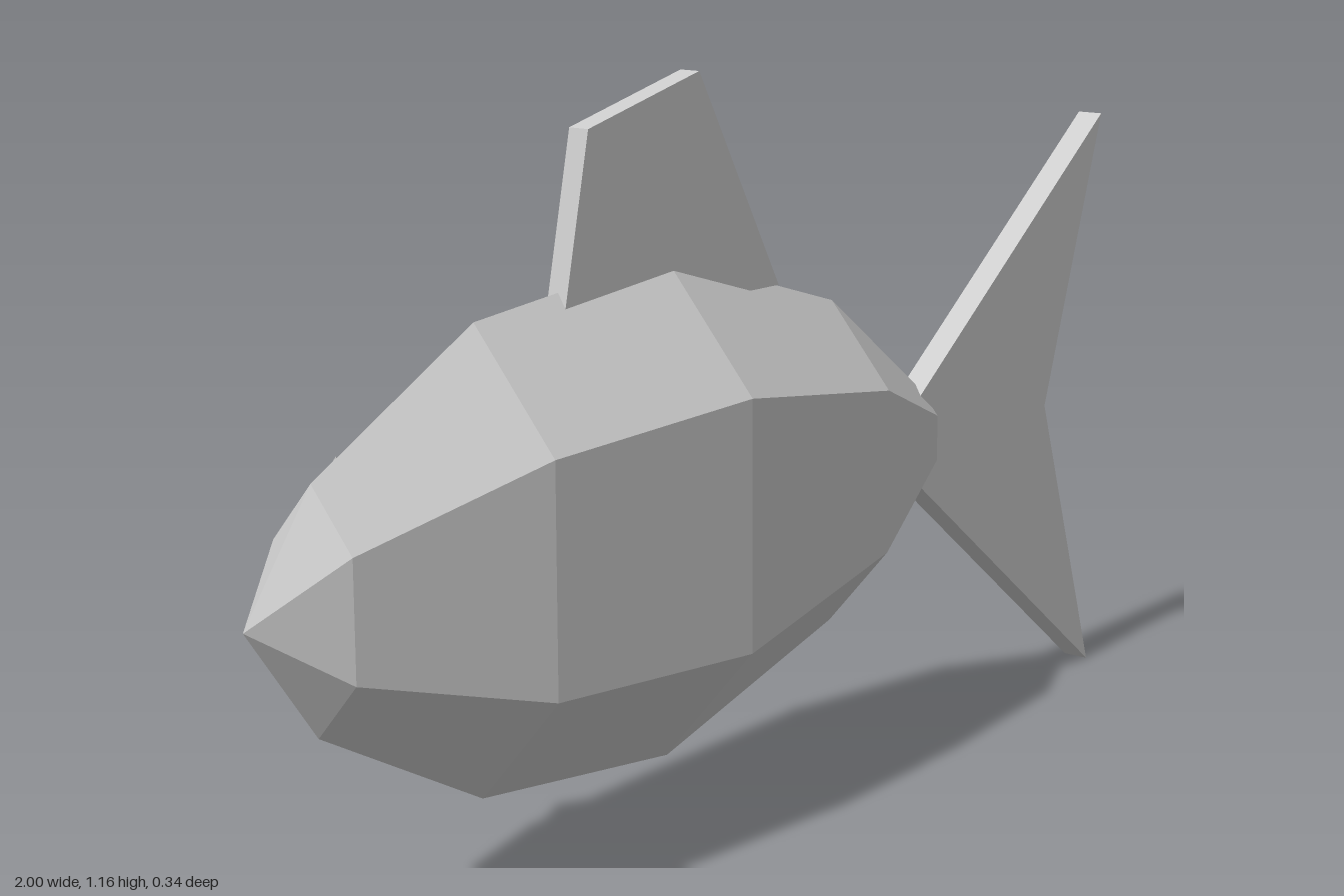
import * as THREE from 'three';

const grey = new THREE.MeshStandardMaterial({ color: 0xcccccc, flatShading: true });
grey.name = 'pale grey';

function addPart(group, name, geometry) {
  const mesh = new THREE.Mesh(geometry, grey);
  mesh.name = name;
  group.add(mesh);
  return mesh;
}

// Flat fin of the given outline, centred on z = 0
function finGeometry(outline, thickness) {
  const shape = new THREE.Shape(outline.map(([x, y]) => new THREE.Vector2(x, y)));
  const geometry = new THREE.ExtrudeGeometry(shape, { depth: thickness, bevelEnabled: false });
  return geometry.translate(0, 0, -thickness / 2);
}

export function createModel() {
  const fish = new THREE.Group();
  fish.name = 'fish';

  // Body: six-sided spindle along x, flattened to half width, nose at -x
  const profile = [[0, -1], [0.175, -0.875], [0.345, -0.565], [0.387, -0.16], [0.264, 0.25], [0.076, 0.5], [0, 0.5]]
    .map(([r, x]) => new THREE.Vector2(r, x));
  const body = new THREE.LatheGeometry(profile, 6, Math.PI / 6);
  body.rotateZ(-Math.PI / 2).scale(1, 1, 0.5).translate(0, 0.503, 0);
  addPart(fish, 'body', body);

  // Back fin, sunk into the body
  addPart(fish, 'dorsalFin', finGeometry([[-0.403, 0.815], [0.09, 0.815], [-0.1, 1.158], [-0.345, 1.095]], 0.036));

  // Forked tail
  addPart(fish, 'tailFin', finGeometry([[0.465, 0.425], [1, 0], [0.84, 0.5], [1, 1], [0.465, 0.58]], 0.046));

  // Single eye on the -z side
  const eye = addPart(fish, 'eye', new THREE.OctahedronGeometry(0.058));
  eye.scale.z = 0.48;
  eye.position.set(-0.7, 0.605, -0.138);

  return fish;
}
